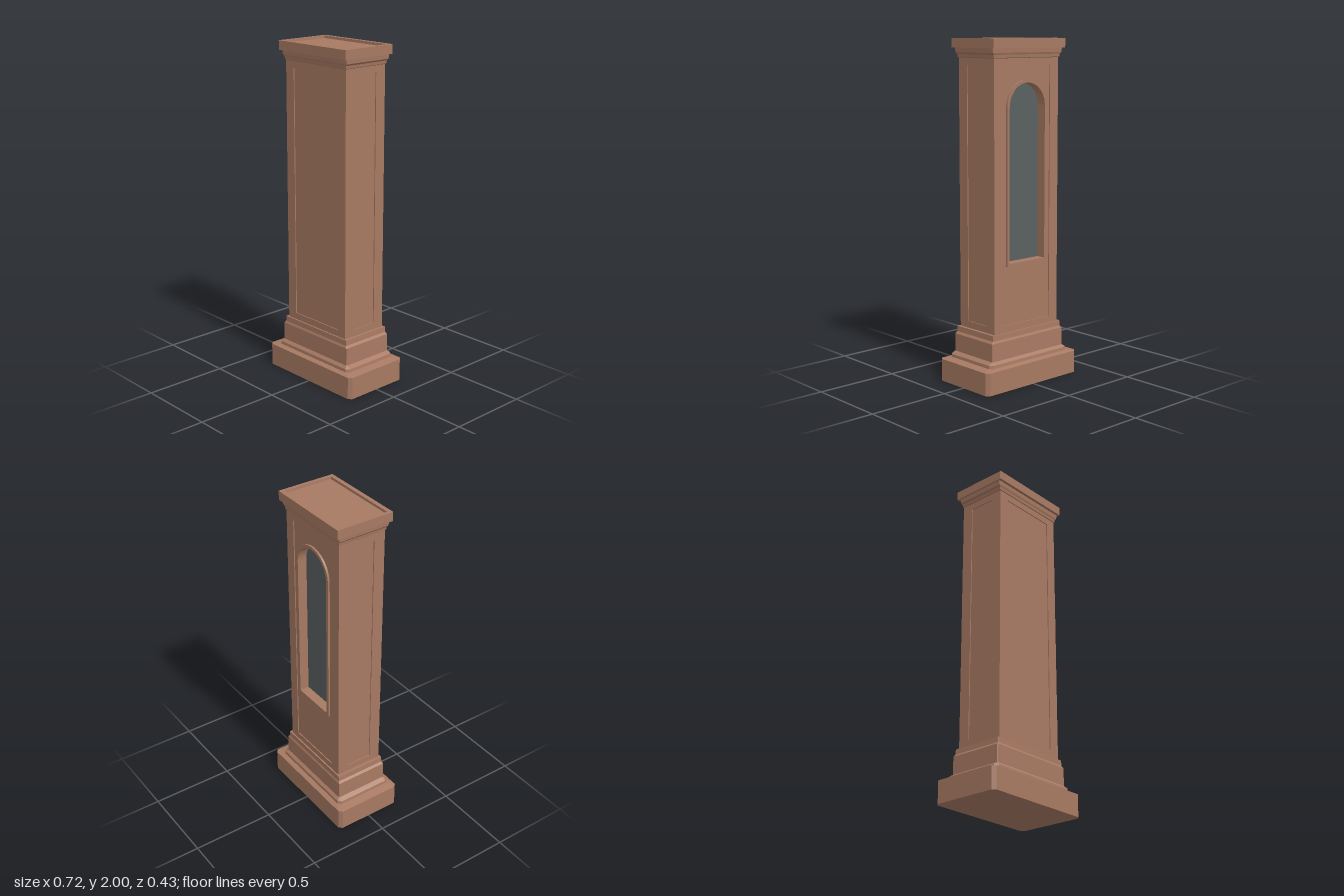
import * as THREE from 'three';

// Stack of chamfered rectangles; each section is [y, halfX, halfZ, chamfer]
function loft(sections) {
  const rings = sections.map(([y, x, z, c]) => [
    [x, y, z - c], [x, y, -z + c], [x - c, y, -z], [-x + c, y, -z],
    [-x, y, -z + c], [-x, y, z - c], [-x + c, y, z], [x - c, y, z],
  ]);
  const pos = [];
  const tri = (a, b, c) => pos.push(...a, ...b, ...c);
  for (let r = 0; r < rings.length - 1; r++) {
    const lo = rings[r], hi = rings[r + 1];
    for (let i = 0; i < 8; i++) {
      const j = (i + 1) % 8;
      tri(lo[i], lo[j], hi[j]);
      tri(lo[i], hi[j], hi[i]);
    }
  }
  const bottom = rings[0], top = rings[rings.length - 1];
  for (let i = 1; i < 7; i++) {
    tri(bottom[0], bottom[i + 1], bottom[i]);
    tri(top[0], top[i], top[i + 1]);
  }
  const geo = new THREE.BufferGeometry();
  geo.setAttribute('position', new THREE.Float32BufferAttribute(pos, 3));
  geo.computeVertexNormals();
  return geo;
}

// Outlines in the x-y plane
function trace(path, points) {
  points.forEach(([x, y], i) => (i ? path.lineTo(x, y) : path.moveTo(x, y)));
  path.closePath();
  return path;
}
const rect = (path, w, y0, y1) => trace(path, [[-w, y0], [w, y0], [w, y1], [-w, y1]]);

function arch(path, w, y0, spring) {
  path.moveTo(-w, y0);
  path.lineTo(w, y0);
  path.lineTo(w, spring);
  path.absarc(0, spring, w, 0, Math.PI, false);
  path.lineTo(-w, y0);
  return path;
}

// Extrusion running from z0 to z1
function slab(shape, hole, z0, z1) {
  if (hole) shape.holes.push(hole);
  return new THREE.ExtrudeGeometry(shape, { depth: z1 - z0, bevelEnabled: false, curveSegments: 24 })
    .translate(0, 0, z0);
}

export function createModel() {
  const terracotta = new THREE.MeshStandardMaterial({ color: 0xa87a63 });
  terracotta.name = 'terracotta';
  const darkGlass = new THREE.MeshStandardMaterial({ color: 0x5a6060 });
  darkGlass.name = 'dark glass';

  const model = new THREE.Group();
  model.name = 'pedestal';
  const add = (name, geo, mat = terracotta) => {
    const mesh = new THREE.Mesh(geo, mat);
    mesh.name = name;
    model.add(mesh);
    return mesh;
  };

  const HX = 0.248, HZ = 0.15, INSET = 0.006;
  const Y0 = 0.32, Y1 = 1.895, P0 = 0.365, P1 = 1.85;
  const WALL = -0.094, SPRING = 1.615;

  // Plinth and stepped base mouldings
  add('plinth', loft([
    [0, 0.358, 0.214, 0.019], [0.133, 0.358, 0.214, 0.019], [0.142, 0.307, 0.185, 0.019],
  ]));
  add('baseMoulding', loft([
    [0.14, 0.307, 0.185, 0.019], [0.16, 0.305, 0.183, 0.019], [0.175, 0.28, 0.167, 0.004],
    [0.28, 0.279, 0.166, 0.004], [0.293, 0.268, 0.16, 0.002], [0.325, 0.266, 0.159, 0.002],
  ]));

  // Shaft core, stopping short of the window recess at the back
  const coreX = HX - INSET, coreFront = HZ - INSET;
  add('shaftCore', slab(rect(new THREE.Shape(), coreX, Y0, Y1), null, WALL, coreFront));
  add('backWall', slab(rect(new THREE.Shape(), coreX, Y0, Y1),
    arch(new THREE.Path(), 0.15, 0.715, SPRING), -coreFront, WALL));

  // Raised borders that leave a shallow sunk panel on every face
  const border = (w, panel) =>
    slab(rect(new THREE.Shape(), w, Y0, Y1), rect(new THREE.Path(), panel, P0, P1), 0, INSET);
  add('frontPanelBorder', border(HX, 0.183)).position.z = coreFront;
  const back = add('backPanelBorder', border(HX, 0.183));
  back.position.z = -coreFront;
  back.rotation.y = Math.PI;
  for (const s of [1, -1]) {
    const side = add(s > 0 ? 'leftPanelBorder' : 'rightPanelBorder', border(coreFront, 0.081));
    side.position.x = s * coreX;
    side.rotation.y = s * Math.PI / 2;
  }

  // Arched window in the back
  add('windowSurround', slab(arch(new THREE.Shape(), 0.155, 0.71, SPRING),
    arch(new THREE.Path(), 0.137, 0.726, SPRING), -0.156, WALL));
  add('windowGlass', slab(arch(new THREE.Shape(), 0.14, 0.722, SPRING), null, WALL - 0.004, WALL + 0.002), darkGlass);

  // Capital and top slab with a sunk top
  add('capital', loft([
    [1.89, 0.249, 0.151, 0.001], [1.893, 0.253, 0.154, 0.001], [1.91, 0.256, 0.156, 0.001],
    [1.92, 0.265, 0.16, 0.001], [1.948, 0.268, 0.162, 0.001],
  ]));
  add('topSlab', loft([
    [1.946, 0.277, 0.179, 0.001], [2, 0.277, 0.179, 0.001],
    [2, 0.257, 0.154, 0.001], [1.985, 0.256, 0.153, 0.001],
  ]));

  return model;
}
